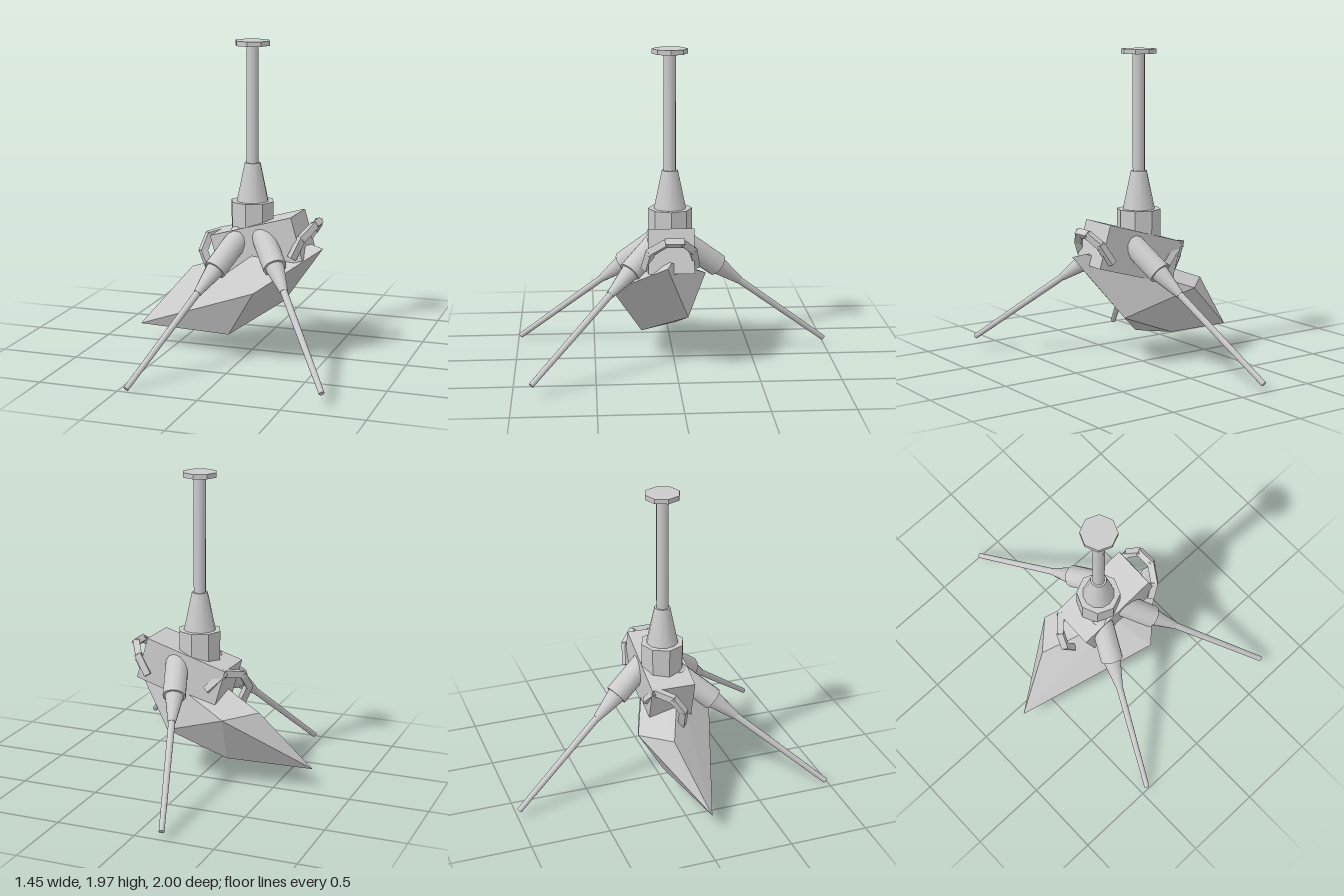
import * as THREE from 'three';
import { ConvexGeometry } from 'three/addons/geometries/ConvexGeometry.js';

const V = (p) => new THREE.Vector3(...p);
const flat = new THREE.MeshStandardMaterial({ color: 0xcccccc, flatShading: true });
const smooth = new THREE.MeshStandardMaterial({ color: 0xcccccc });

function add(parent, name, geometry, material) {
  const mesh = new THREE.Mesh(geometry, material);
  mesh.name = name;
  parent.add(mesh);
  return mesh;
}

// Capped, optionally tapered bar from point a to point b
function bar(parent, name, a, b, ra, rb, sides, material) {
  const dir = b.clone().sub(a);
  const mesh = add(parent, name, new THREE.CylinderGeometry(rb, ra, dir.length(), sides), material);
  mesh.position.copy(a).addScaledVector(dir, 0.5);
  mesh.quaternion.setFromUnitVectors(new THREE.Vector3(0, 1, 0), dir.normalize());
  return mesh;
}

// Leg: thick hip, tapered joint and thin shin on one axis
function leg(parent, name, hipEnd, foot) {
  const group = new THREE.Group();
  group.name = name;
  const h = V(hipEnd), f = V(foot);
  const dir = f.clone().sub(h).normalize();
  const at = (d) => h.clone().addScaledVector(dir, d);
  bar(group, 'hip', at(-0.3), h, 0.073, 0.073, 12, smooth);
  bar(group, 'joint', at(-0.01), at(0.19), 0.06, 0.025, 12, smooth);
  bar(group, 'shin', at(0.18), f, 0.022, 0.017, 12, smooth);
  parent.add(group);
}

// Angular handle made of straight square bars through the given points
function handle(parent, name, points) {
  const group = new THREE.Group();
  group.name = name;
  const pts = points.map(V);
  for (let i = 0; i < pts.length - 1; i++) {
    const step = pts[i + 1].clone().sub(pts[i]).normalize().multiplyScalar(0.008);
    bar(group, 'handleBar', pts[i].clone().sub(step), pts[i + 1].clone().add(step), 0.03, 0.03, 4, flat);
  }
  parent.add(group);
}

export function createModel() {
  const model = new THREE.Group();
  model.name = 'tripodMachine';

  // Upright column: [name, bottom y, top y, bottom radius, top radius]
  const column = new THREE.Group();
  column.name = 'column';
  column.position.set(0.01, 0, 0.023);
  for (const [name, y0, y1, r0, r1] of [
    ['collar', 0.72, 0.98, 0.138, 0.138],
    ['cone', 0.98, 1.22, 0.1, 0.05],
    ['pole', 1.2, 1.95, 0.038, 0.038],
    ['topDisc', 1.945, 1.975, 0.11, 0.11],
  ]) {
    const material = name === 'pole' || name === 'cone' ? smooth : flat;
    const sides = material === smooth ? 12 : 8;
    add(column, name, new THREE.CylinderGeometry(r1, r0, y1 - y0, sides), material).position.y = (y0 + y1) / 2;
  }
  model.add(column);

  // Tilted body block
  const body = add(model, 'body', new THREE.BoxGeometry(0.55, 0.275, 0.28), flat);
  body.position.set(0.082, 0.712, 0.027);
  body.rotation.set(0, -0.03, 0.28);

  // Faceted hull slung beneath the body
  add(model, 'hull', new ConvexGeometry([
    [-0.73, 0.13, 0.085], [-0.42, 0.505, -0.05], [-0.24, 0.485, -0.225],
    [0.135, 0.485, 0.39], [-0.09, 0.15, 0.2], [0.19, 0.32, -0.08],
    [-0.2, 0.17, -0.04], [0.48, 0.715, 0.065], [0.4, 0.73, 0.035], [0.04, 0.68, 0.14],
  ].map(V)), flat);

  // Three splayed legs
  leg(model, 'frontRightLeg', [-0.14, 0.59, 0.31], [-0.45, 0.015, 0.985]);
  leg(model, 'frontLeftLeg', [0.24, 0.63, 0.285], [0.71, 0.085, 0.885]);
  leg(model, 'backLeg', [0.06, 0.62, -0.27], [-0.17, 0.05, -0.99]);

  // Handles at both ends of the body
  handle(model, 'leftHandle', [
    [0.32, 0.68, 0.19], [0.37, 0.79, 0.165], [0.425, 0.86, 0.07],
    [0.425, 0.86, -0.03], [0.38, 0.8, -0.095], [0.31, 0.69, -0.115],
  ]);
  handle(model, 'rightHandle', [
    [-0.26, 0.53, 0.06], [-0.31, 0.64, 0.05], [-0.29, 0.73, -0.01],
    [-0.21, 0.75, -0.09], [-0.1, 0.64, -0.12],
  ]);

  return model;
}
